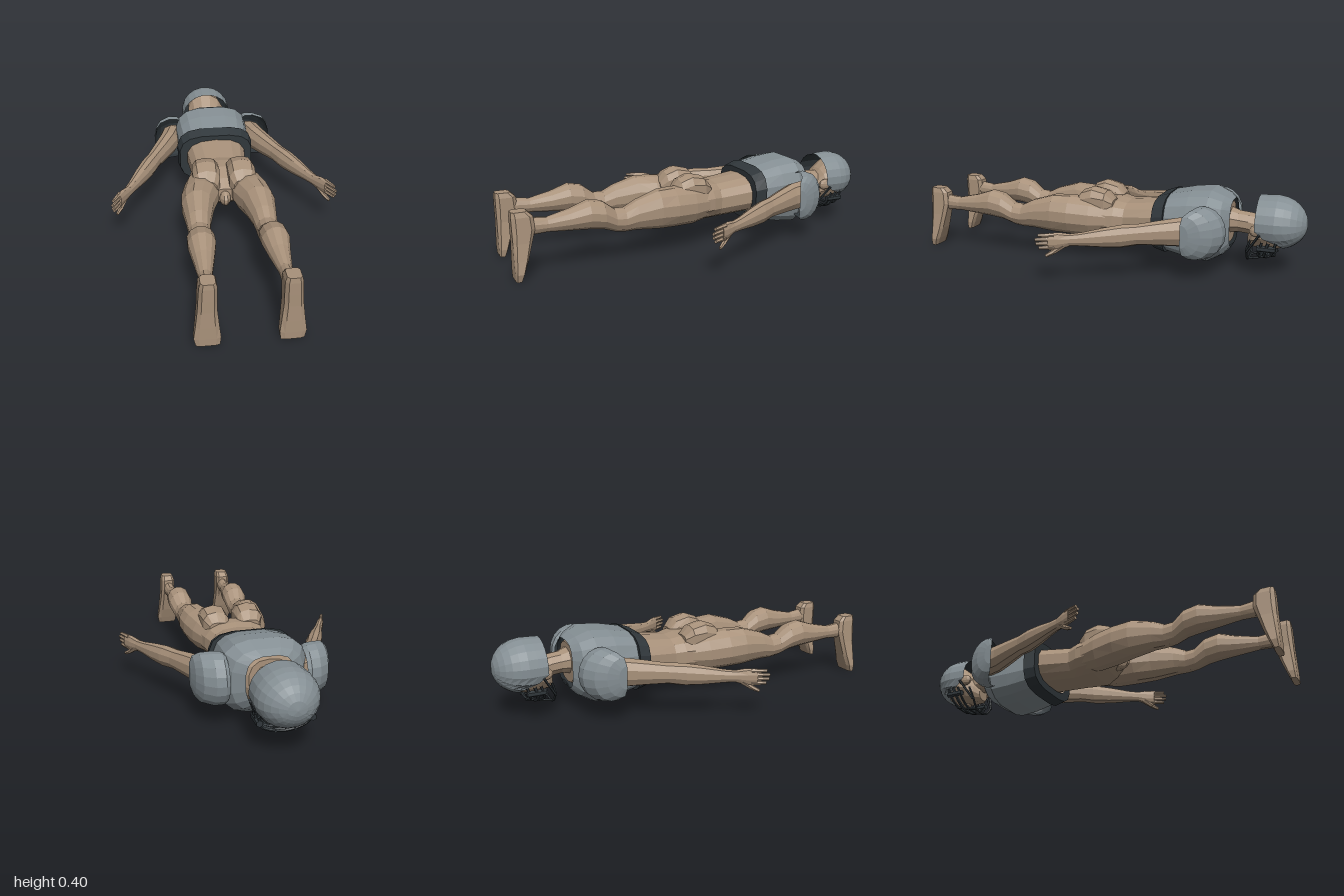
import * as THREE from 'three';

const material = (name, color) => Object.assign(new THREE.MeshStandardMaterial({ color }), { name });
const V = (...p) => new THREE.Vector3(...p);

// Faceted surface from a rule f(i, j) -> [x, y, z]; flip turns it inside out
function grid(f, nu, nv, flip = false) {
  const pos = [];
  const tri = (a, b, c) => pos.push(...a, ...(flip ? c : b), ...(flip ? b : c));
  for (let i = 0; i < nu; i++) {
    for (let j = 0; j < nv; j++) {
      const a = f(i, j), b = f(i, j + 1), c = f(i + 1, j), d = f(i + 1, j + 1);
      tri(a, b, c);
      tri(b, d, c);
    }
  }
  const g = new THREE.BufferGeometry();
  g.setAttribute('position', new THREE.Float32BufferAttribute(pos, 3));
  g.computeVertexNormals();
  return g;
}

const pow = (v, p) => Math.sign(v) * Math.abs(v) ** p;

// Body of rings [x, y, z, rx, ry, p] stacked along +z; p < 1 makes a ring squarer
function loft(rings, n = 10, capped = true, flip = false) {
  const cap = r => [r[0], r[1], r[2], 0, 0];
  const all = capped ? [cap(rings[0]), ...rings, cap(rings.at(-1))] : rings;
  return grid((i, j) => {
    const [x, y, z, rx, ry, p = 1] = all[i];
    const a = ((j % n) + 0.5) / n * Math.PI * 2;
    return [x + rx * pow(Math.cos(a), p), y + ry * pow(Math.sin(a), p), z];
  }, all.length - 1, n, flip);
}

// Tapered rod between two points
function rod(a, b, r1, r2, n = 6) {
  const d = b.clone().sub(a);
  const g = new THREE.CylinderGeometry(r2, r1, d.length(), n).toNonIndexed();
  g.applyQuaternion(new THREE.Quaternion().setFromUnitVectors(V(0, 1, 0), d.normalize()));
  g.translate(...a.clone().add(b).multiplyScalar(0.5).toArray());
  g.computeVertexNormals();
  return g;
}

function ball(x, y, z, rx, ry, rz) {
  const g = new THREE.SphereGeometry(1, 10, 7).toNonIndexed();
  g.scale(rx, ry, rz).translate(x, y, z);
  g.computeVertexNormals();
  return g;
}

// Mirror across x = 0, restoring the corner order
function mirrored(geo) {
  const g = geo.clone(), p = g.attributes.position;
  g.scale(-1, 1, 1);
  for (let i = 0; i < p.count; i += 3) {
    const b = V().fromBufferAttribute(p, i + 1), c = V().fromBufferAttribute(p, i + 2);
    p.setXYZ(i + 1, c.x, c.y, c.z);
    p.setXYZ(i + 2, b.x, b.y, b.z);
  }
  g.computeVertexNormals();
  return g;
}

export function createModel() {
  const model = new THREE.Group();
  model.name = 'proneArmouredFigure';
  const skin = material('skin', 0xa8917a);
  const plate = material('greyPlate', 0x858f94);
  const dark = material('darkTrim', 0x30373b);

  const add = (name, geo, mat) => {
    const m = new THREE.Mesh(geo, mat);
    m.name = name;
    model.add(m);
  };
  const pair = (name, geo, mat) => {
    add(name + 'Left', geo, mat);
    add(name + 'Right', mirrored(geo), mat);
  };

  // Torso, pelvis and neck
  add('torso', loft([
    [0, 0.24, -0.632, 0.1, 0.1, 0.8], [0, 0.23, -0.55, 0.19, 0.12, 0.8], [0, 0.23, -0.4, 0.18, 0.12, 0.8],
    [0, 0.23, -0.27, 0.163, 0.1, 0.8], [0, 0.215, -0.1, 0.145, 0.095, 0.8], [0, 0.22, -0.05, 0.165, 0.1, 0.8],
    [0, 0.22, 0.02, 0.18, 0.1, 0.8], [0, 0.215, 0.09, 0.14, 0.075], [0, 0.215, 0.14, 0.06, 0.04],
  ], 14), skin);
  add('crotch', ball(0, 0.2, 0.12, 0.032, 0.045, 0.065), skin);
  add('neck', loft([
    [0, 0.22, -0.8, 0.06, 0.065], [0, 0.24, -0.72, 0.058, 0.056], [0, 0.245, -0.67, 0.06, 0.056],
    [0, 0.25, -0.62, 0.08, 0.07],
  ]), skin);
  pair('buttock', loft([
    [0.085, 0.29, -0.04, 0.05, 0.03, 0.7], [0.09, 0.3, 0, 0.07, 0.065, 0.75], [0.092, 0.3, 0.07, 0.073, 0.083, 0.75],
    [0.092, 0.29, 0.13, 0.07, 0.07, 0.75], [0.092, 0.27, 0.165, 0.05, 0.045, 0.75],
  ]), skin);

  // Legs
  pair('leg', loft([
    [0.1, 0.22, -0.02, 0.07, 0.08], [0.115, 0.225, 0.07, 0.09, 0.1], [0.133, 0.233, 0.18, 0.097, 0.103],
    [0.152, 0.237, 0.27, 0.083, 0.1], [0.16, 0.225, 0.39, 0.061, 0.075], [0.162, 0.21, 0.45, 0.053, 0.06],
    [0.162, 0.215, 0.5, 0.054, 0.058], [0.167, 0.25, 0.56, 0.066, 0.07], [0.168, 0.262, 0.63, 0.066, 0.072],
    [0.17, 0.25, 0.72, 0.05, 0.053], [0.174, 0.242, 0.83, 0.031, 0.036], [0.176, 0.245, 0.9, 0.032, 0.042],
    [0.177, 0.25, 0.96, 0.036, 0.05],
  ], 12), skin);
  pair('knee', ball(0.162, 0.185, 0.47, 0.037, 0.033, 0.05), skin);

  // Feet, rings [x, y, z, rx, rz] running from heel to toe
  const foot = [
    [0.178, 0.325, 0.96, 0, 0], [0.178, 0.325, 0.96, 0.033, 0.037], [0.178, 0.3, 0.948, 0.04, 0.052],
    [0.18, 0.24, 0.945, 0.042, 0.055], [0.182, 0.18, 0.953, 0.044, 0.046], [0.183, 0.1, 0.965, 0.053, 0.035],
    [0.184, 0.04, 0.976, 0.061, 0.024], [0.182, 0.003, 0.983, 0.054, 0.016], [0.182, 0, 0.983, 0, 0],
  ];
  pair('foot', grid((i, j) => {
    const [x, y, z, rx, rz] = foot[i], a = ((j % 8) + 0.5) / 8 * Math.PI * 2;
    return [x + rx * pow(Math.cos(a), 0.5), y, z + rz * pow(Math.sin(a), 0.5)];
  }, foot.length - 1, 8), skin);

  // Arms and hands
  pair('arm', loft([
    [0.205, 0.235, -0.58, 0.04, 0.05], [0.235, 0.235, -0.53, 0.06, 0.075], [0.258, 0.235, -0.45, 0.058, 0.073],
    [0.305, 0.232, -0.35, 0.052, 0.062], [0.35, 0.228, -0.26, 0.043, 0.052], [0.385, 0.222, -0.19, 0.046, 0.056],
    [0.425, 0.217, -0.11, 0.04, 0.048], [0.47, 0.212, -0.02, 0.028, 0.034], [0.495, 0.21, 0.03, 0.023, 0.03],
    [0.522, 0.208, 0.075, 0.021, 0.042], [0.545, 0.208, 0.115, 0.017, 0.04],
  ]), skin);
  for (let i = 0; i < 4; i++) {
    const y = 0.178 + i * 0.02, tip = 0.18 - Math.abs(i - 1.6) * 0.012;
    pair('finger' + (i + 1), rod(V(0.537, y, 0.095), V(0.54 + (tip - 0.095) * 0.42, y, tip), 0.012, 0.008), skin);
  }
  pair('thumb', rod(V(0.512, 0.187, 0.06), V(0.535, 0.155, 0.1), 0.016, 0.012), skin);
  pair('thumbTip', rod(V(0.535, 0.155, 0.1), V(0.556, 0.138, 0.13), 0.012, 0.008), skin);

  // Chest armour and its waist band
  const vest = [
    [0, 0.237, -0.642, 0.115, 0.12, 0.65], [0, 0.23, -0.605, 0.17, 0.15, 0.65], [0, 0.225, -0.54, 0.208, 0.182, 0.65],
    [0, 0.225, -0.44, 0.202, 0.172, 0.65], [0, 0.225, -0.32, 0.19, 0.145, 0.65],
  ];
  add('vest', loft(vest, 16, false), plate);
  add('vestLining', loft(vest.map(([x, y, z, a, b, p]) => [x, y, z, a - 0.004, b - 0.004, p]), 16, false, true), dark);
  const band = [[0, 0.225, -0.33, 0.212, 0.152, 0.6], [0, 0.222, -0.27, 0.202, 0.133, 0.6]];
  add('waistBand', loft([
    [0, 0.225, -0.33, 0.18, 0.13, 0.6], ...band, [0, 0.222, -0.27, 0.158, 0.095, 0.7],
  ], 16, false), dark);

  // Shoulder guards: rows [x, ry, zc, rz] of arcs open toward the feet
  const rows = [
    [0.182, 0.112, -0.535, 0.1], [0.2, 0.125, -0.535, 0.11], [0.245, 0.128, -0.53, 0.11],
    [0.295, 0.118, -0.505, 0.098], [0.32, 0.095, -0.475, 0.075], [0.332, 0.055, -0.46, 0.035], [0.333, 0, -0.455, 0],
  ];
  const guard = inset => (i, j) => {
    const [x, ry, zc, rz] = rows[i], t = (j / 10 - 0.5) * Math.PI * 1.12;
    const k = 1 - inset * 8;
    return [x - inset, 0.23 + ry * k * Math.sin(t), zc - rz * k * Math.cos(t)];
  };
  pair('shoulderGuard', grid(guard(0), rows.length - 1, 10), plate);
  pair('shoulderGuardLining', grid(guard(0.004), rows.length - 1, 10, true), dark);

  // Head, face downward
  add('head', loft([
    [0, 0.25, -0.965, 0.06, 0.06], [0, 0.245, -0.92, 0.1, 0.105], [0, 0.24, -0.85, 0.11, 0.115],
    [0, 0.215, -0.79, 0.1, 0.09], [0, 0.185, -0.745, 0.07, 0.06], [0, 0.17, -0.72, 0.04, 0.035],
  ], 12), skin);
  add('nose', rod(V(0, 0.14, -0.86), V(0, 0.115, -0.81), 0.01, 0.018, 5), skin);
  pair('ear', ball(0.105, 0.23, -0.775, 0.02, 0.03, 0.04), skin);

  // Helmet shell, cut back over the face
  const helmet = inset => (i, j) => {
    const a = ((j % 20) + 0.5) / 20 * Math.PI * 2, s = Math.sin(a);
    const length = 0.235 - 0.13 * THREE.MathUtils.smoothstep(-s, 0.2, 0.85);
    const d = length * (i / 8) ** 1.7, q = 1 - Math.min(1, d / 0.15);
    const r = Math.sqrt(1 - q * q) * (1 - Math.max(0, d - 0.15) * 0.4);
    const k = r * (1 - inset * 8);
    return [0.145 * k * Math.cos(a), 0.255 + (s > 0 ? 0.136 : 0.13) * k * s, -1 + inset + d];
  };
  add('helmet', grid(helmet(0), 8, 20), plate);
  add('helmetLining', grid(helmet(0.004), 8, 20, true), dark);

  // Face cage: bars [z, front y, half width, thickness] bent around the face
  const bars = [[-0.85, 0.095, 0.125, 0.007], [-0.815, 0.085, 0.13, 0.009], [-0.785, 0.085, 0.13, 0.007], [-0.725, 0.062, 0.105, 0.006]];
  for (const [z, y, w, r] of bars) {
    const path = new THREE.CatmullRomCurve3([
      V(-w, 0.185, z - 0.02), V(-w * 0.85, 0.125, z), V(-w * 0.45, y + 0.008, z), V(0, y, z),
      V(w * 0.45, y + 0.008, z), V(w * 0.85, 0.125, z), V(w, 0.185, z - 0.02),
    ]);
    const g = new THREE.TubeGeometry(path, 14, r, 5).toNonIndexed();
    g.computeVertexNormals();
    add('faceBar', g, dark);
  }
  pair('cageUpright', rod(V(0.045, 0.1, -0.86), V(0.04, 0.068, -0.72), 0.006, 0.006, 5), dark);
  pair('cageSideBar', rod(V(0.138, 0.22, -0.79), V(0.092, 0.115, -0.725), 0.007, 0.006, 5), dark);
  pair('cageMount', rod(V(0.12, 0.15, -0.87), V(0.12, 0.15, -0.78), 0.016, 0.016, 6), dark);

  return model;
}
